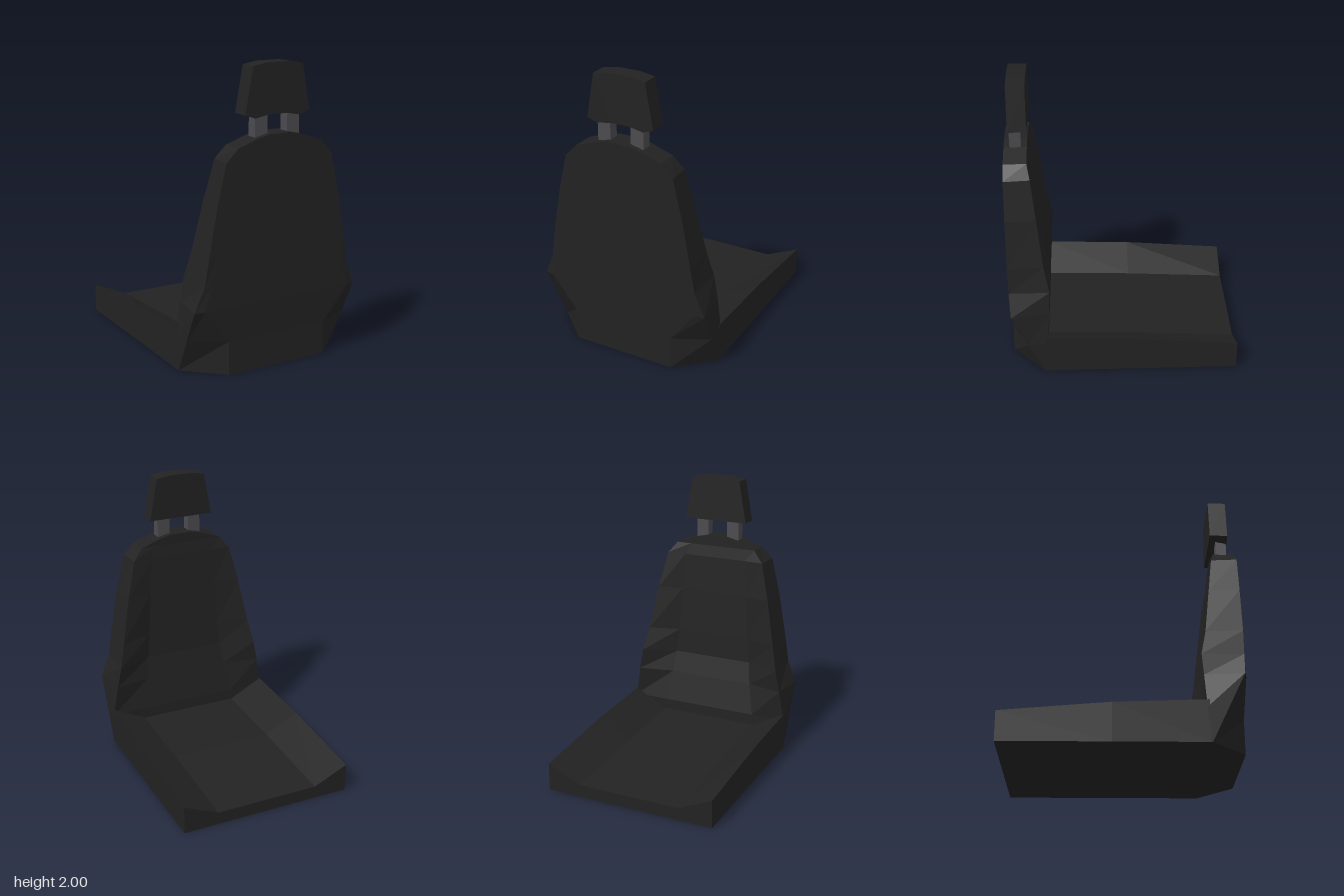
import * as THREE from 'three';

const flat = (name, color) => {
  const m = new THREE.MeshStandardMaterial({ color, flatShading: true });
  m.name = name;
  return m;
};

// Skin mirrored sections; each is four points [x, y, z] of the +x half, counterclockwise.
function loft(sections) {
  const rings = sections.map((half) => [
    ...half,
    ...half.slice().reverse().map(([x, y, z]) => [-x, y, z]),
  ]);
  const pos = [];
  const quad = (a, b, c, d) => pos.push(...a, ...b, ...c, ...a, ...c, ...d);
  for (let i = 0; i < rings.length - 1; i++) {
    for (let j = 0; j < 8; j++) {
      const k = (j + 1) % 8;
      quad(rings[i][j], rings[i][k], rings[i + 1][k], rings[i + 1][j]);
    }
  }
  // End caps: centre strip plus one quad on each side
  for (const [a, b, c, d] of [[0, 1, 2, 3], [0, 3, 4, 7], [4, 5, 6, 7]]) {
    const s = rings[0], e = rings[rings.length - 1];
    quad(s[d], s[c], s[b], s[a]);
    quad(e[a], e[b], e[c], e[d]);
  }
  const g = new THREE.BufferGeometry();
  g.setAttribute('position', new THREE.Float32BufferAttribute(pos, 3));
  g.computeVertexNormals();
  return g;
}

export function createModel() {
  const group = new THREE.Group();
  const upholstery = flat('black upholstery', 0x222222);
  const metal = flat('grey metal', 0x4b4b4f);
  const add = (name, geometry, material) => {
    const mesh = new THREE.Mesh(geometry, material);
    mesh.name = name;
    group.add(mesh);
    return mesh;
  };

  // Cushion: raised side bolsters, dished centre; [z, bolster height, centre height]
  const cushion = [[-0.79, 0.2, 0.09], [-0.07, 0.26, 0.13], [0.54, 0.28, 0.15]];
  add('cushion', loft(cushion.map(([z, side, mid]) => [
    [0.37, 0, z], [0.617, 0, z], [0.617, side, z], [0.37, mid, z],
  ])), upholstery);

  // Backrest: [y, rear inner x z, rear outer x z, bolster x z, centre x z]
  const back = [
    [0, 0.37, 0.78, 0.617, 0.55, 0.617, 0.53, 0.36, 0.525],
    [0.23, 0.37, 0.78, 0.617, 0.66, 0.617, 0.525, 0.36, 0.53],
    [0.46, 0.55, 0.785, 0.617, 0.77, 0.582, 0.513, 0.32, 0.57],
    [0.62, 0.5, 0.785, 0.55, 0.78, 0.55, 0.505, 0.3, 0.6],
    [0.8, 0.46, 0.785, 0.52, 0.785, 0.51, 0.54, 0.28, 0.605],
    [1.13, 0.4, 0.785, 0.46, 0.785, 0.445, 0.578, 0.26, 0.612],
    [1.4, 0.33, 0.785, 0.395, 0.785, 0.38, 0.61, 0.24, 0.62],
    [1.485, 0.22, 0.785, 0.31, 0.785, 0.31, 0.63, 0.2, 0.63],
    [1.535, 0.1, 0.785, 0.165, 0.785, 0.165, 0.63, 0.1, 0.63],
    [1.555, 0.04, 0.785, 0.08, 0.785, 0.08, 0.63, 0.04, 0.63],
  ];
  add('backrest', loft(back.map(([y, ax, az, bx, bz, cx, cz, dx, dz]) => [
    [ax, y, az], [bx, y, bz], [cx, y, cz], [dx, y, dz],
  ])), upholstery);

  // Headrest: tapered pad with its lower inner edge lifted
  const half = [[0.07, 1.673], [0.165, 1.655], [0.24, 1.68], [0.185, 1.983], [0.08, 2]];
  const outline = [...half, ...half.slice().reverse().map(([x, y]) => [-x, y])];
  const pad = new THREE.ExtrudeGeometry(
    new THREE.Shape(outline.map(([x, y]) => new THREE.Vector2(x, y))),
    { depth: 0.125, bevelEnabled: false },
  );
  const p = pad.attributes.position;
  for (let i = 0; i < p.count; i++) {
    if (p.getZ(i) < 0.01) p.setY(i, Math.max(p.getY(i), 1.68));
  }
  pad.translate(0, 0, 0.625);
  pad.computeVertexNormals();
  add('headrest', pad, upholstery);

  // Headrest posts
  for (const side of [1, -1]) {
    add(side > 0 ? 'leftPost' : 'rightPost', new THREE.BoxGeometry(0.092, 0.18, 0.075), metal)
      .position.set(side * 0.12, 1.6, 0.708);
  }
  return group;
}
